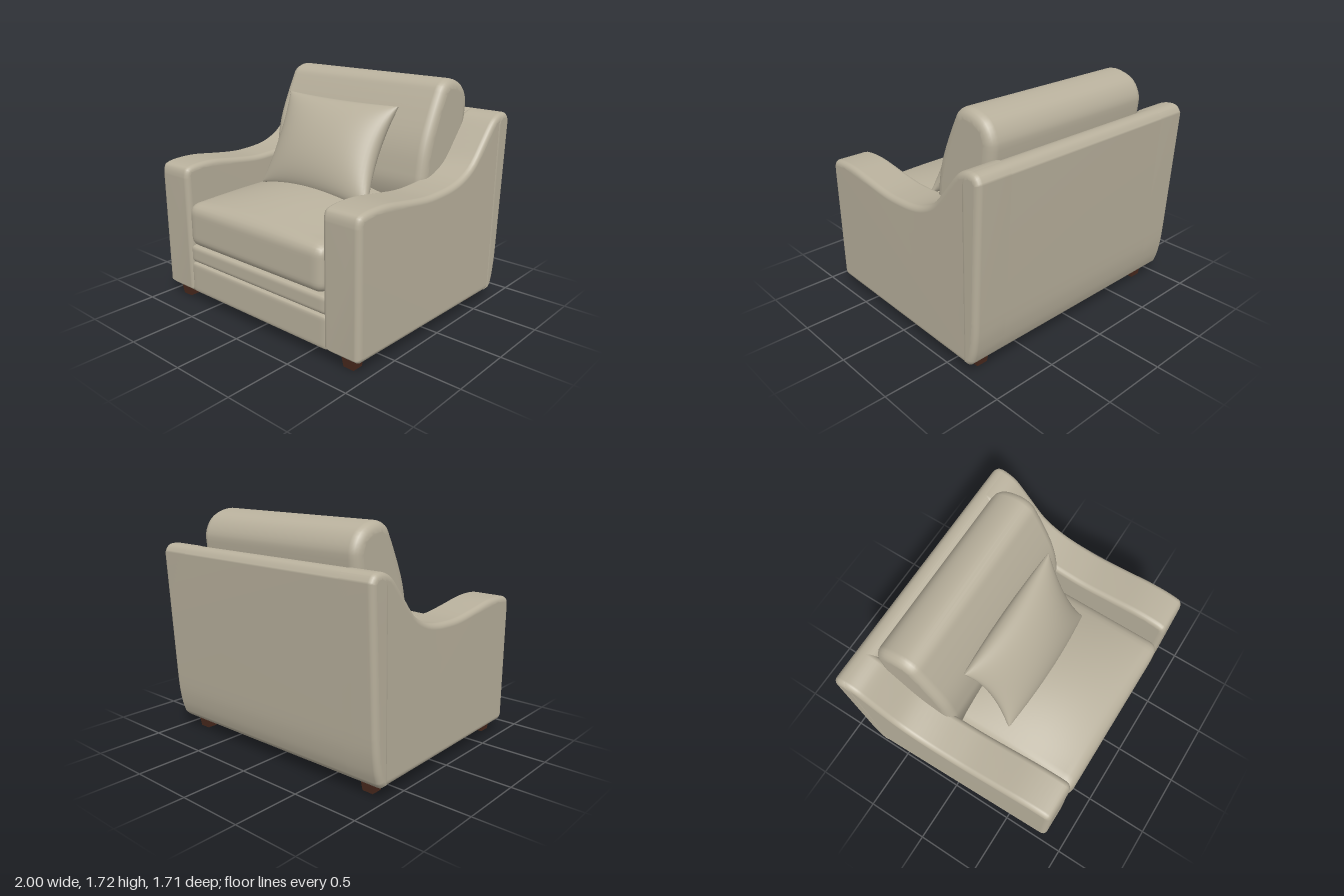
import * as THREE from 'three';
import { mergeVertices } from 'three/addons/utils/BufferGeometryUtils.js';

const mat = (name, color) => {
  const m = new THREE.MeshStandardMaterial({ color });
  m.name = name;
  return m;
};

// Moves every vertex by a rule, then welds and smooths the surface.
function shaped(geo, rule) {
  geo.deleteAttribute('uv');
  geo.deleteAttribute('normal');
  const pos = geo.attributes.position;
  const p = new THREE.Vector3();
  for (let i = 0; i < pos.count; i++) {
    p.fromBufferAttribute(pos, i);
    rule(p);
    pos.setXYZ(i, p.x, p.y, p.z);
  }
  const out = mergeVertices(geo);
  out.computeVertexNormals();
  return out;
}

// Side outline in (z, y), made of smooth runs joined by straight lines, extruded along x.
function sideExtrude(runs, x0, x1, bevel, rule = () => {}) {
  const shape = new THREE.Shape();
  runs.forEach((run, i) => {
    const pts = run.map(([z, y]) => new THREE.Vector2(z, y));
    if (i === 0) shape.moveTo(pts[0].x, pts[0].y);
    else shape.lineTo(pts[0].x, pts[0].y);
    if (pts.length > 1) shape.splineThru(pts.slice(1));
  });
  const geo = new THREE.ExtrudeGeometry(shape, {
    depth: x1 - x0 - 2 * bevel, curveSegments: 3, steps: 1,
    bevelEnabled: true, bevelSize: bevel, bevelThickness: bevel, bevelOffset: -bevel, bevelSegments: 5,
  });
  geo.rotateY(-Math.PI / 2);
  geo.translate(x1 - bevel, 0, 0);
  return shaped(geo, rule);
}

// Rounded block with a domed top.
function softBlock(w, h, d, r, crown = 0) {
  const half = new THREE.Vector3(w / 2, h / 2, d / 2);
  const inner = half.clone().subScalar(r);
  const low = inner.clone().negate();
  const q = new THREE.Vector3();
  return shaped(new THREE.BoxGeometry(w, h, d, 40, 16, 40), (p) => {
    q.copy(p).clamp(low, inner);
    p.sub(q).normalize().multiplyScalar(r).add(q);
    const u = p.x / half.x, v = p.z / half.z;
    if (p.y > 0) p.y += crown * (1 - u * u) * (1 - v * v) * (p.y / half.y);
  });
}

// Pillow with pinched corners and a thin seam.
function pillowGeometry(halfW, halfH, halfT) {
  return shaped(new THREE.BoxGeometry(2, 2, 2, 28, 28, 1), (p) => {
    const u = Math.sin(p.x * Math.PI / 2), v = Math.sin(p.y * Math.PI / 2);
    const fill = Math.max(0, (1 - u * u) * (1 - v * v));
    p.set(
      u * halfW * (1 - 0.11 * (1 - v * v)),
      v * halfH * (1 - 0.04 * (1 - u * u)),
      Math.sign(p.z) * (0.006 + halfT * Math.pow(fill, 0.5)),
    );
  });
}

export function createModel() {
  const group = new THREE.Group();
  const fabric = mat('beige fabric', 0xb8b09c);
  const wood = mat('dark brown wood', 0x4a2a1e);
  const lining = mat('dark underside lining', 0x05060f);

  const add = (name, geo, material, x = 0, y = 0, z = 0) => {
    const mesh = new THREE.Mesh(geo, material);
    mesh.name = name;
    mesh.position.set(x, y, z);
    group.add(mesh);
    return mesh;
  };

  // Rear edge shared by the arms and the back
  const rear = [[-0.805, 0.45], [-0.795, 0.32], [-0.775, 0.2], [-0.75, 0.12]];
  const rearFoot = [[-0.72, 0.09]];

  // Sloping arms, drawn in slightly toward the front
  const armRuns = [
    [[0.81, 0.09]],
    [[0.84, 0.12]],
    [[0.847, 0.99], [0.84, 1.04], [0.81, 1.075], [0.7, 1.09], [0.55, 1.087], [0.35, 1.06], [0.15, 1.037],
      [0, 1.037], [-0.15, 1.05], [-0.28, 1.085], [-0.4, 1.155], [-0.52, 1.29], [-0.62, 1.405],
      [-0.68, 1.45], [-0.75, 1.47], [-0.82, 1.46], [-0.855, 1.41]],
    rear, rearFoot,
  ];
  for (const [side, s] of [['left', 1], ['right', -1]]) {
    const geo = s > 0 ? sideExtrude(armRuns, 0.7, 1, 0.04, (p) => { p.x -= 0.02 * (p.z + 0.85); })
      : sideExtrude(armRuns, -1, -0.7, 0.04, (p) => { p.x += 0.02 * (p.z + 0.85); });
    add(side + 'Arm', geo, fabric);
  }

  // Back panel
  add('back', sideExtrude([
    [[-0.66, 0.09]],
    [[-0.68, 1.39], [-0.705, 1.445], [-0.76, 1.47], [-0.82, 1.46], [-0.855, 1.41]],
    rear, rearFoot,
  ], -1, 1, 0.04), fabric);

  // Two stacked front rails
  add('lowerRail', softBlock(1.4, 0.245, 1.53, 0.025), fabric, 0, 0.2125, 0.065);
  add('upperRail', softBlock(1.4, 0.14, 1.53, 0.035), fabric, 0, 0.405, 0.065);

  // Seat cushion
  add('seatCushion', softBlock(1.35, 0.335, 1.45, 0.075, 0.135), fabric, 0, 0.645, 0.13);

  // Leaning back cushion
  add('backCushion', sideExtrude([
    [[-0.1, 0.75]],
    [[-0.11, 1.03], [-0.135, 1.2], [-0.175, 1.34], [-0.24, 1.49], [-0.305, 1.62], [-0.35, 1.69], [-0.43, 1.724],
      [-0.53, 1.712], [-0.62, 1.665], [-0.675, 1.57], [-0.675, 1.46], [-0.64, 1.2]],
    [[-0.54, 0.75]],
  ], -0.735, 0.75, 0.07), fabric);

  // Throw pillow leaning on the back cushion
  const pillow = add('throwPillow', pillowGeometry(0.525, 0.375, 0.155), fabric, 0.005, 1.21, 0.06);
  pillow.rotation.x = -0.46;

  // Underside lining
  add('undersideLining', new THREE.BoxGeometry(1.84, 0.008, 1.46), lining, 0, 0.087, 0.05);

  // Tapered square legs
  const legGeo = new THREE.CylinderGeometry(0.078, 0.06, 0.1, 4).rotateY(Math.PI / 4).toNonIndexed();
  legGeo.computeVertexNormals();
  for (const [end, z] of [['front', 0.735], ['back', -0.63]])
    for (const [side, x] of [['Left', 0.835], ['Right', -0.835]])
      add(end + side + 'Leg', legGeo, wood, x, 0.05, z);

  return group;
}
